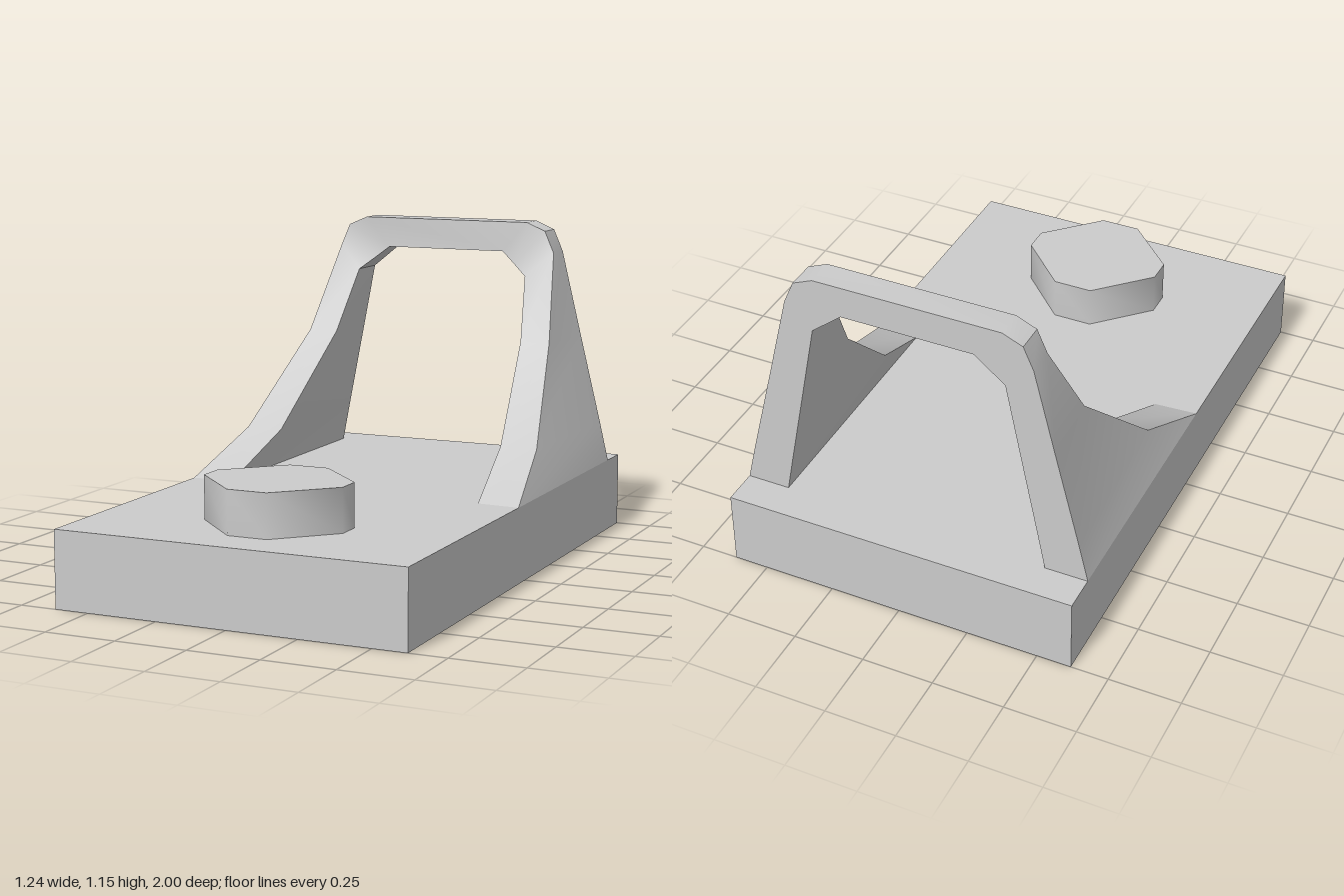
import * as THREE from 'three';
import { toCreasedNormals } from 'three/addons/utils/BufferGeometryUtils.js';

const TOP = 0.265;    // top of the base slab
const BACK = -0.875;  // rear plane of the hood

// Half of the hood: [outer front], [inner front], [outer back x, y], [inner back x, y]
const STATIONS = [
  [[0.62, TOP, 0.07], [0.47, TOP, 0.06], [0.62, TOP], [0.47, TOP]],
  [[0.565, 0.405, -0.25], [0.43, 0.405, -0.25], [0.587, 0.405], [0.443, 0.405]],
  [[0.48, 0.73, -0.6], [0.37, 0.73, -0.6], [0.506, 0.73], [0.379, 0.73]],
  [[0.43, 1.04, -0.775], [0.335, 0.955, -0.73], [0.43, 1.04], [0.335, 0.955]],
  [[0.395, 1.12, -0.775], [0.283, 0.997, -0.755], [0.395, 1.12], [0.283, 0.997]],
  [[0.325, 1.15, -0.775], [0.23, 1.04, -0.775], [0.325, 1.15], [0.23, 1.04]],
];

// Lofts a four-cornered section up one wing, over the top and down the other
function hoodGeometry() {
  const sections = STATIONS.map(([of, inf, ob, ib]) => [of, [...ob, BACK], [...ib, BACK], inf]);
  const mirrored = sections.map((s) => s.map(([x, y, z]) => [-x, y, z])).reverse();
  const all = [...sections, ...mirrored];
  const index = [];
  for (let s = 0; s < all.length - 1; s++) {
    for (let k = 0; k < 4; k++) {
      const n = (k + 1) % 4;
      const a = s * 4 + k, b = s * 4 + n, c = b + 4, d = a + 4;
      index.push(a, b, c, a, c, d);
    }
  }
  const geometry = new THREE.BufferGeometry();
  geometry.setAttribute('position', new THREE.Float32BufferAttribute(all.flat(2), 3));
  geometry.setIndex(index);
  return toCreasedNormals(geometry, 0.65);
}

// Squarish octagonal button with softly shaded sides
function buttonGeometry() {
  const w = 0.25, d = 0.225, cx = 0.07, cz = 0.045;
  const shape = new THREE.Shape([
    [cx, -d], [w, -cz], [w, cz], [cx, d], [-cx, d], [-w, cz], [-w, -cz], [-cx, -d],
  ].map(([x, y]) => new THREE.Vector2(x, y)));
  const geometry = new THREE.ExtrudeGeometry(shape, { depth: 0.15, bevelEnabled: false });
  geometry.rotateX(-Math.PI / 2);
  return toCreasedNormals(geometry, 0.9);
}

export function createModel() {
  const group = new THREE.Group();
  const material = new THREE.MeshStandardMaterial({ color: 0xcccccc });
  const add = (name, geometry, x = 0, y = 0, z = 0) => {
    const mesh = new THREE.Mesh(geometry, material);
    mesh.name = name;
    mesh.position.set(x, y, z);
    group.add(mesh);
  };

  add('base', new THREE.BoxGeometry(1.24, TOP, 2), 0, TOP / 2, 0);
  add('hood', hoodGeometry());
  add('button', buttonGeometry(), 0, TOP, 0.625);
  return group;
}
